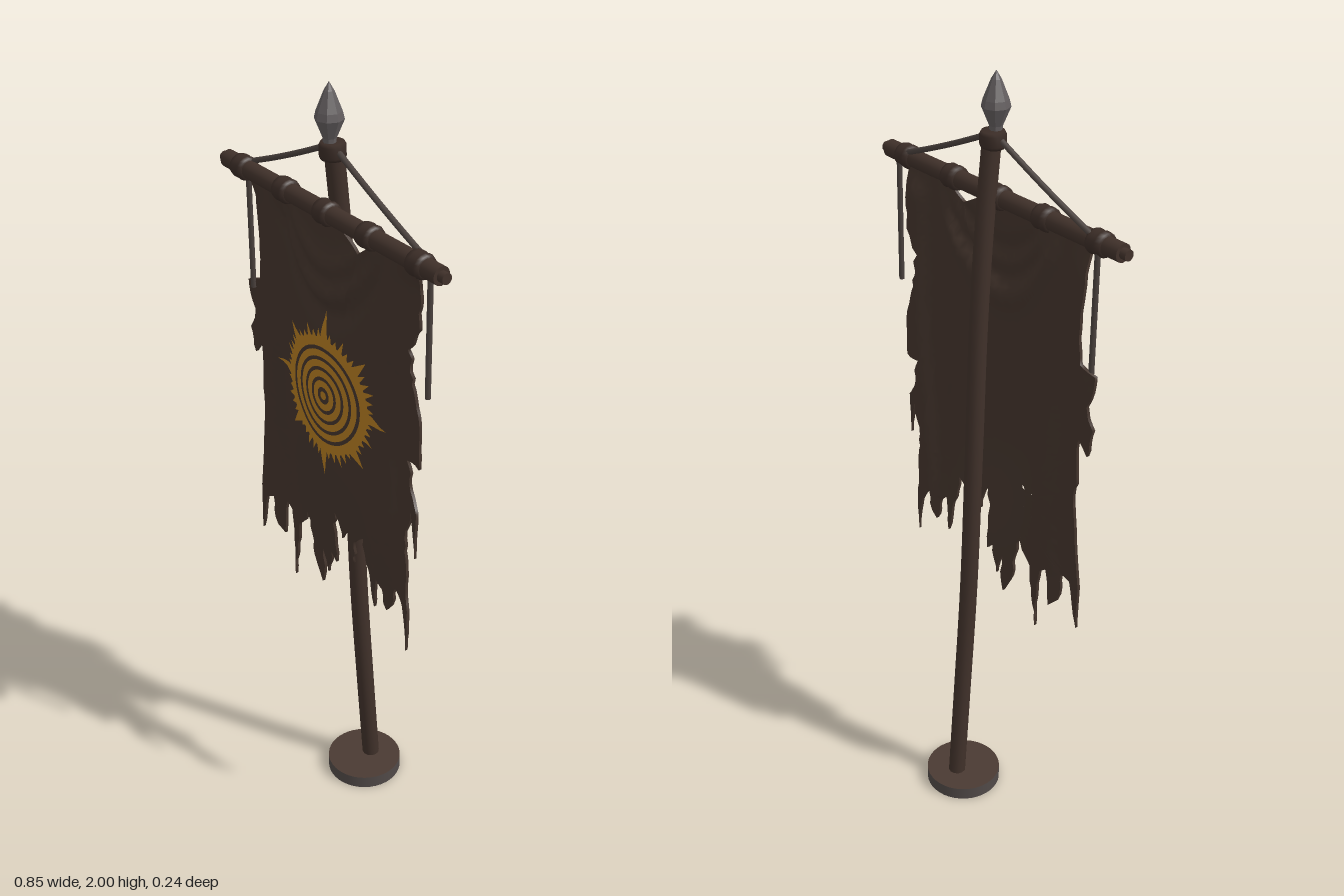
import * as THREE from 'three';
import { mergeVertices } from 'three/addons/utils/BufferGeometryUtils.js';

const V2 = (x, y) => new THREE.Vector2(x, y);
const V3 = (x, y, z) => new THREE.Vector3(x, y, z);
const material = (name, color, side = THREE.FrontSide) => {
  const m = new THREE.MeshStandardMaterial({ color, side });
  m.name = name;
  return m;
};

// Torn cloth outline in hundredths: left side, bottom fringe, right side, top
const OUTLINE = [
  -32, 169, -31, 153, -32, 141, -36.5, 139.5, -35, 131.5, -37, 126, -36, 119, -33, 122.5, -33, 110, -31, 105.5,
  -32, 96, -34, 80, -33, 67, -29.5, 79, -27, 80, -26, 71.5, -24, 69.5, -23, 80, -21, 78.5, -19.5, 69,
  -18.5, 59.5, -17, 68, -16, 77, -13, 80, -12.5, 85, -10.5, 77, -9, 68.5, -6.5, 64, -6, 75, -4, 68.5,
  -2, 76, 0, 74, 0.5, 86.5, 2, 91, 4, 84, 7, 88, 8, 78.5, 9, 85.5, 13, 89, 15, 80,
  17, 70.5, 18.5, 80, 20.5, 78, 21.5, 72, 24, 80, 26.5, 76, 29.5, 64.5, 30, 77, 28, 89, 27, 96,
  29, 105, 32.5, 94, 32, 106, 28, 111.5, 27, 118, 32, 118, 31.5, 129, 29, 137, 28, 143, 27.5, 147,
  31, 153, 31.5, 161, 32, 169, 17, 168.5, 12.5, 165, 6, 168.5, -17, 168.5,
];

// Depth of the hanging cloth: full belly, swag below the bar, side folds
function clothZ(x, y) {
  const smooth = THREE.MathUtils.smoothstep;
  const bump = (v, w) => Math.exp(-((v / w) ** 2));
  const belly = 0.028 * bump(x, 0.2) * smooth(y, 0.65, 1.1);
  const s = y - (1.505 + 4.4 * x * x);
  const swag = 0.014 * bump(s, 0.025) + 0.012 * bump(s - 0.075, 0.025) - 0.008 * bump(s + 0.045, 0.03);
  const folds = 0.011 * Math.sin(x * 40 + Math.sin(y * 3)) * smooth(Math.abs(x), 0.08, 0.25);
  const z = 0.067 + belly + swag * bump(x, 0.22) + folds + 0.004 * Math.sin(y * 7 + x * 9);
  return THREE.MathUtils.lerp(z, 0.088, smooth(y, 1.62, 1.69) * 0.7);
}

// Flat outline, divided finely and laid over the cloth surface
function drape(contour, holes, offset, maxEdge, flip = false) {
  const points = [contour, ...holes].flat();
  const pos = [];
  const put = (...ps) => ps.forEach((p) => pos.push(p.x, p.y, clothZ(p.x, p.y) + offset));
  const split = (a, b, c) => {
    const ab = a.distanceTo(b), bc = b.distanceTo(c), ca = c.distanceTo(a);
    if (bc > ab && bc >= ca) return split(b, c, a);
    if (ca > ab && ca > bc) return split(c, a, b);
    if (ab < maxEdge) return flip ? put(a, c, b) : put(a, b, c);
    const m = V2((a.x + b.x) / 2, (a.y + b.y) / 2);
    split(a, m, c);
    split(m, b, c);
  };
  for (const [i, j, k] of THREE.ShapeUtils.triangulateShape(contour, holes)) {
    const [a, b, c] = [points[i], points[j], points[k]];
    const ccw = (b.x - a.x) * (c.y - a.y) - (b.y - a.y) * (c.x - a.x) > 0;
    ccw ? split(a, b, c) : split(a, c, b);
  }
  return finish(pos);
}

function finish(pos) {
  let g = new THREE.BufferGeometry();
  g.setAttribute('position', new THREE.Float32BufferAttribute(pos, 3));
  g = mergeVertices(g, 1e-5);
  g.computeVertexNormals();
  return g;
}

// Narrow strip joining the front and back of the cloth
function rim(contour, depth) {
  const pos = [];
  contour.forEach((a, i) => {
    const b = contour[(i + 1) % contour.length];
    const n = Math.ceil(a.distanceTo(b) / 0.02);
    for (let k = 0; k < n; k++) {
      const p = a.clone().lerp(b, k / n), q = a.clone().lerp(b, (k + 1) / n);
      const zp = clothZ(p.x, p.y), zq = clothZ(q.x, q.y);
      pos.push(p.x, p.y, zp - depth, q.x, q.y, zq - depth, q.x, q.y, zq + depth);
      pos.push(p.x, p.y, zp - depth, q.x, q.y, zq + depth, p.x, p.y, zp + depth);
    }
  });
  return finish(pos);
}

const circle = (x, y, r, n) => Array.from({ length: n }, (_, i) =>
  V2(x + r * Math.cos((i / n) * Math.PI * 2), y + r * Math.sin((i / n) * Math.PI * 2)));

export function createModel() {
  const group = new THREE.Group();
  const wood = material('dark wood', 0x40312a);
  const cloth = material('brown cloth', 0x43342c, THREE.DoubleSide);
  const binding = material('leather binding', 0x3a2c26);
  const steel = material('dull steel', 0x625d5e);
  const rope = material('grey rope', 0x4a413d);
  const gold = material('faded gold', 0xb27a20, THREE.DoubleSide);
  const baseTop = material('base brown', 0x4a3a32);
  const baseSide = material('base grey', 0x504947);
  const add = (name, geometry, mat, x = 0, y = 0, z = 0) => {
    const mesh = new THREE.Mesh(geometry, mat);
    mesh.name = name;
    mesh.position.set(x, y, z);
    group.add(mesh);
    return mesh;
  };
  let seed = 7;
  const random = () => (seed = (seed * 16807) % 2147483647) / 2147483647;

  // Base disc and slightly bowed, leaning pole
  add('base', new THREE.CylinderGeometry(0.1, 0.1, 0.035, 40), [baseSide, baseTop, baseTop], 0, 0.0175, -0.02);
  const poleLine = new THREE.CatmullRomCurve3([
    V3(0, 0.03, -0.043), V3(0.002, 0.3, -0.022), V3(0, 0.65, 0), V3(-0.002, 1.05, 0.015),
    V3(0, 1.4, 0.03), V3(0, 1.65, 0.047), V3(0, 1.86, 0.068)]);
  add('pole', new THREE.TubeGeometry(poleLine, 48, 0.023, 12), wood);

  // Collar and spear tip
  const lathe = (pts, n) => new THREE.LatheGeometry(pts.map(([r, y]) => V2(r, y)), n);
  add('collar', lathe([[0, -0.02], [0.027, -0.02], [0.031, -0.012], [0.031, 0.012], [0.027, 0.02], [0, 0.02]], 16),
    binding, 0, 1.845, 0.07);
  const tip = lathe([[0.014, 1.855], [0.016, 1.875], [0.034, 1.918], [0.03, 1.935], [0.012, 1.98], [0, 2]], 8).toNonIndexed();
  tip.computeVertexNormals();
  add('spearTip', tip, steel, 0, 0, 0.078);

  // Crossbar with narrow ends and leather bindings
  const bar = (name, r, length, mat, x) => {
    add(name, new THREE.CylinderGeometry(r, r, length, 16), mat, x, 1.703, 0.088).rotation.z = Math.PI / 2;
  };
  bar('crossbar', 0.022, 0.81, wood, 0);
  bar('crossbarPegs', 0.013, 0.845, wood, 0);
  for (const x of [-0.335, -0.16, 0, 0.16, 0.335]) {
    const ring = lathe([[0.02, -0.023], [0.027, -0.022], [0.03, -0.013], [0.027, -0.004], [0.03, 0.008],
      [0.028, 0.021], [0.02, 0.023]], 16);
    add('barBinding', ring, binding, x, 1.703, 0.088).rotation.z = Math.PI / 2;
  }

  // Stay ropes and hanging cords on both sides
  const cord = (name, a, b, sag, r) => {
    const mid = a.clone().lerp(b, 0.5).add(V3(0, -sag, 0));
    add(name, new THREE.TubeGeometry(new THREE.QuadraticBezierCurve3(a, mid, b), 12, r, 7), rope);
  };
  for (const s of [-1, 1]) {
    cord('stayRope', V3(s * 0.015, 1.852, 0.072), V3(s * 0.325, 1.718, 0.075), 0.008, 0.007);
    cord('hangingCord', V3(s * 0.347, 1.7, 0.07), V3(s * 0.346, 1.38, 0.068), 0, 0.007);
  }

  // Cloth outline with small frays along every torn edge
  let outline = [];
  for (let i = 0; i < OUTLINE.length; i += 2) outline.push(V2(OUTLINE[i] / 100, OUTLINE[i + 1] / 100));
  for (const fray of [0.009, 0.005]) {
    outline = outline.flatMap((a, i) => {
      const b = outline[(i + 1) % outline.length];
      const m = a.clone().lerp(b, 0.5);
      if (m.y < 1.64 && a.distanceTo(b) > 0.03) m.x += (random() - 0.5) * 2 * fray;
      return [a, m];
    });
  }
  const holes = [circle(-0.148, 0.97, 0.008, 8), circle(-0.112, 0.973, 0.009, 8)];
  add('clothFront', drape(outline, holes, 0.004, 0.028), cloth);
  add('clothBack', drape(outline, holes, -0.004, 0.028, true), cloth);
  add('clothRim', rim(outline, 0.004), cloth);

  // Sun emblem: concentric bands
  const cy = 1.24, lift = 0.007;
  const emblem = (name, contour, inner = []) => add(name, drape(contour, inner, lift, 0.03), gold);
  emblem('sunCentre', circle(0, cy, 0.011, 16));
  for (const r of [0.03, 0.056, 0.082, 0.108, 0.138]) {
    const w = r > 0.13 ? 0.012 : 0.0085;
    emblem('sunBand', circle(0, cy, r + w, 48), [circle(0, cy, r - w, 48)]);
  }

  // Long and short sun rays
  for (let i = 0; i < 48; i++) {
    const a = (i / 48) * Math.PI * 2;
    const reach = i % 12 === 0 ? 0.222 : i % 6 === 0 ? 0.198 : i % 3 === 0 ? 0.182 : 0.162 + 0.012 * random();
    const w = i % 6 === 0 ? 0.1 : 0.055;
    const at = (r, t) => V2(r * Math.cos(t), cy + r * Math.sin(t));
    emblem('sunRay', [at(0.147, a - w), at(reach, a), at(0.147, a + w)]);
  }
  return group;
}
